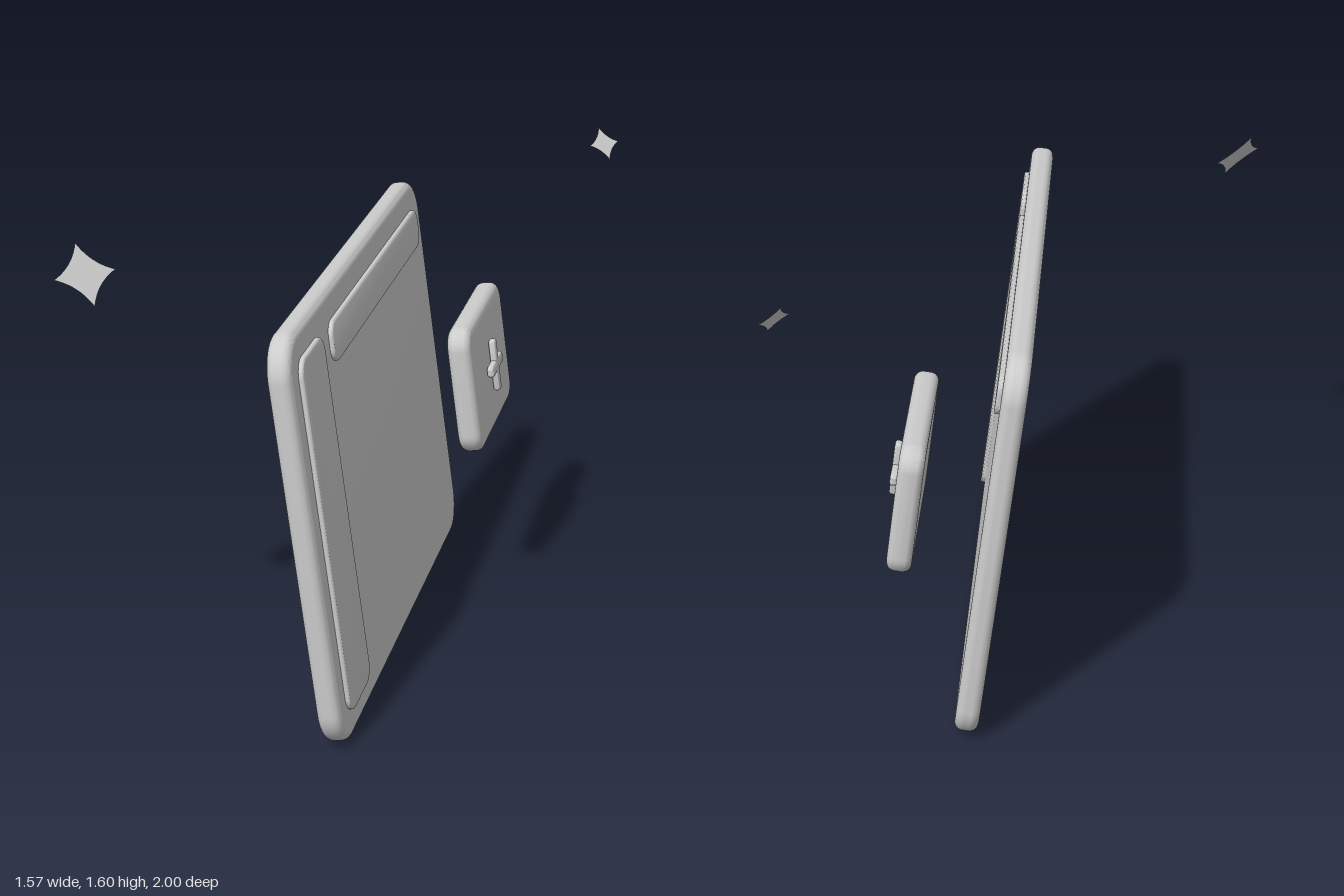
import * as THREE from 'three';
import { toCreasedNormals } from 'three/addons/utils/BufferGeometryUtils.js';

const TILT = 0.134;
const grey = new THREE.MeshStandardMaterial({ color: 0xcccccc, side: THREE.DoubleSide });
grey.name = 'light grey';

// Rounded rectangle slab centred on its origin, with softly rounded rims
function slab(name, w, h, depth, radius, bevel, x = 0, y = 0, z = 0) {
  const a = w / 2 - bevel, b = h / 2 - bevel, r = radius - bevel;
  const s = new THREE.Shape();
  s.absarc(a - r, b - r, r, 0, Math.PI / 2);
  s.absarc(-a + r, b - r, r, Math.PI / 2, Math.PI);
  s.absarc(-a + r, -b + r, r, Math.PI, Math.PI * 1.5);
  s.absarc(a - r, -b + r, r, Math.PI * 1.5, Math.PI * 2);
  const geo = new THREE.ExtrudeGeometry(s, {
    depth: depth - 2 * bevel, bevelEnabled: true, bevelSize: bevel,
    bevelThickness: bevel, bevelSegments: 6, curveSegments: 8,
  });
  geo.translate(0, 0, bevel - depth / 2);
  const mesh = new THREE.Mesh(toCreasedNormals(geo, 0.6), grey);
  mesh.name = name;
  mesh.position.set(x, y, z);
  return mesh;
}

// Group facing +x and leaning back
function leaning(name, x, y, z, parts) {
  const g = new THREE.Group();
  g.name = name;
  g.rotation.set(0, Math.PI / 2, TILT, 'ZYX');
  g.position.set(x, y, z);
  g.add(...parts);
  return g;
}

// Flat four-pointed star turned towards the diagonal
function sparkle(name, r, x, y, z) {
  const s = new THREE.Shape();
  const c = 0.3 * r;
  s.moveTo(r, 0);
  s.quadraticCurveTo(c, c, 0, r);
  s.quadraticCurveTo(-c, c, -r, 0);
  s.quadraticCurveTo(-c, -c, 0, -r);
  s.quadraticCurveTo(c, -c, r, 0);
  const mesh = new THREE.Mesh(new THREE.ShapeGeometry(s, 10), grey);
  mesh.name = name;
  mesh.position.set(x, y, z);
  mesh.lookAt(x + 1, y + 1, z + 1);
  return mesh;
}

export function createModel() {
  const model = new THREE.Group();
  model.name = 'floatingPanels';

  // Main window with its raised sidebar and top bar
  model.add(leaning('mainWindow', 0.089, 0.6925, 0.025, [
    slab('windowPanel', 1.95, 1.395, 0.08, 0.135, 0.03),
    slab('sidebar', 0.29, 1.208, 0.03, 0.06, 0.008, -0.74, 0.002, 0.041),
    slab('topBar', 1.35, 0.138, 0.03, 0.05, 0.008, 0.185, 0.529, 0.041),
  ]));

  // Floating card with a plus sign
  model.add(leaning('floatingCard', 0.366, 0.805, -0.5325, [
    slab('cardPanel', 0.646, 0.462, 0.083, 0.075, 0.03),
    slab('plusUpright', 0.043, 0.193, 0.025, 0.014, 0.01, 0, 0, 0.0565),
    slab('plusCrossbar', 0.193, 0.043, 0.025, 0.014, 0.01, 0, 0, 0.0565),
  ]));

  // Sparkles
  model.add(sparkle('largeSparkle', 0.11, -0.708, 1.452, 0.671));
  model.add(sparkle('smallSparkle', 0.064, 0.735, 1.543, -0.956));
  return model;
}
